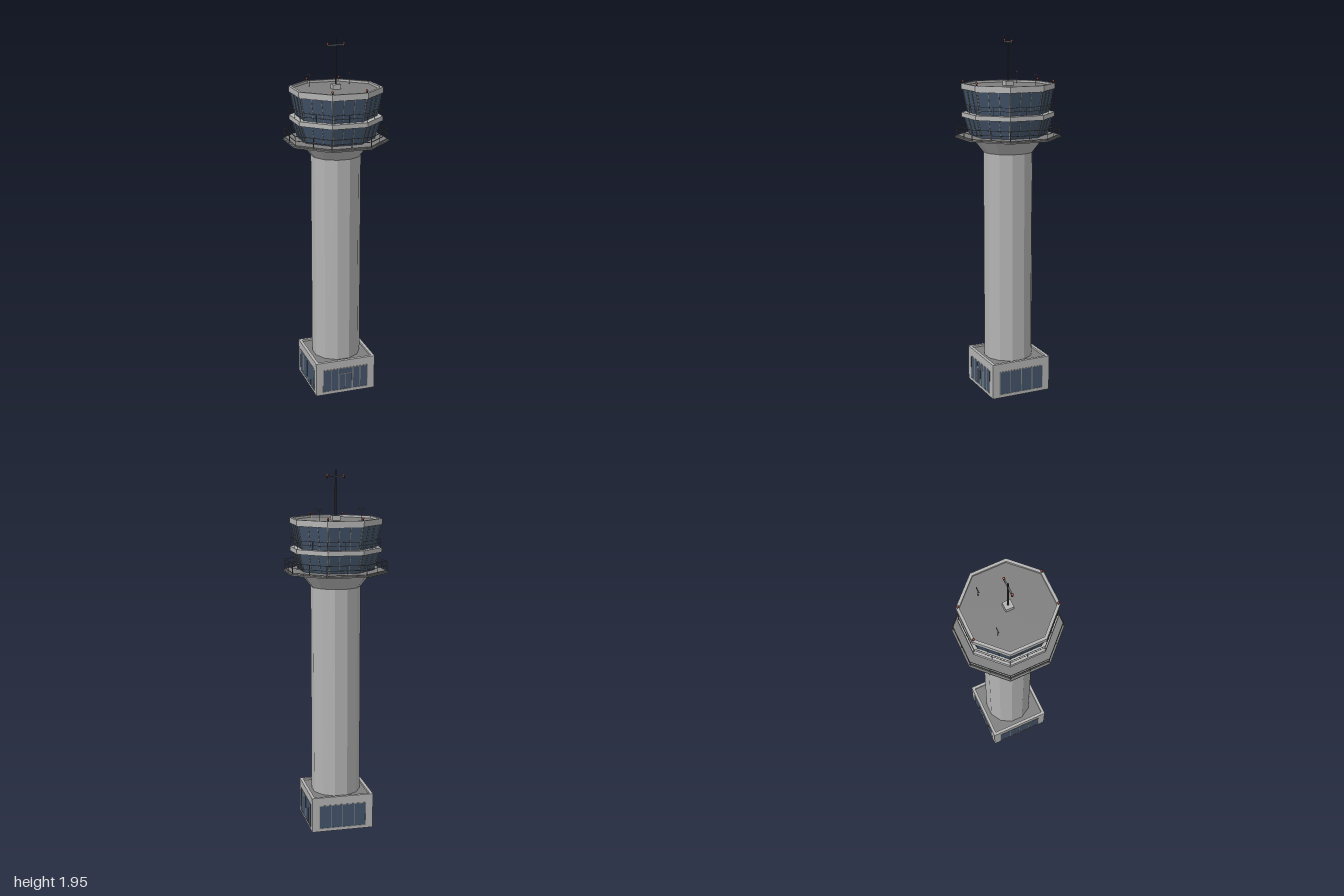
import * as THREE from 'three';

const mat = (name, color) => {
  const m = new THREE.MeshStandardMaterial({ color });
  m.name = name;
  return m;
};
const TAN = Math.tan(Math.PI / 8);

export function createModel() {
  const concrete = mat('concrete', 0xb4b4b4);
  const darkGrey = mat('dark grey', 0x7e7e7e);
  const glass = mat('blue glass', 0x43546a);
  const frame = mat('window frame', 0x8a8a88);
  const rail = mat('railing grey', 0x6a6c70);
  const metal = mat('dark metal', 0x3a3a3c);
  const red = mat('warning red', 0x963a24);
  const root = new THREE.Group();

  const add = (parent, name, geo, m, x = 0, y = 0, z = 0) => {
    const mesh = new THREE.Mesh(geo, m);
    mesh.name = name;
    mesh.position.set(x, y, z);
    parent.add(mesh);
    return mesh;
  };
  const box = (parent, name, w, h, d, m, x, y, z) =>
    add(parent, name, new THREE.BoxGeometry(w, h, d), m, x, y, z);
  const group = (name, parent = root) => {
    const g = new THREE.Group();
    g.name = name;
    parent.add(g);
    return g;
  };

  // Faceted prism or frustum; sizes are distances from the axis to the flats
  const prism = (name, sides, bottom, top, y0, y1, m, parent = root) => {
    const c = Math.cos(Math.PI / sides);
    let g = new THREE.CylinderGeometry(top / c, bottom / c, y1 - y0, sides);
    g.rotateY(Math.PI / sides);
    g = g.toNonIndexed();
    g.computeVertexNormals();
    return add(parent, name, g, m, 0, (y0 + y1) / 2, 0);
  };

  // Upright polygonal ring with a hole
  const ring = (name, sides, outer, inner, y0, y1, m) => {
    const pts = (a) => Array.from({ length: sides }, (_, i) => {
      const t = (i + 0.5) / sides * Math.PI * 2, r = a / Math.cos(Math.PI / sides);
      return new THREE.Vector2(r * Math.cos(t), r * Math.sin(t));
    });
    const s = new THREE.Shape(pts(outer));
    s.holes.push(new THREE.Path(pts(inner)));
    const g = new THREE.ExtrudeGeometry(s, { depth: y1 - y0, bevelEnabled: false });
    g.rotateX(-Math.PI / 2);
    return add(root, name, g, m, 0, y0, 0);
  };

  // Entrance block with a raised roof edge
  box(root, 'entranceBlock', 0.342, 0.182, 0.342, concrete, 0, 0.091, 0);
  ring('entranceParapet', 4, 0.172, 0.155, 0.18, 0.196, concrete);
  box(root, 'entranceRoof', 0.312, 0.004, 0.312, darkGrey, 0, 0.183, 0);
  for (let i = 0; i < 4; i++) {
    const side = group('entranceWindow');
    side.rotation.y = i * Math.PI / 2;
    box(side, 'pane', 0.26, 0.13, 0.004, glass, 0, 0.083, 0.17);
    for (const y of [0.018, 0.148]) box(side, 'frameRail', 0.264, 0.004, 0.004, frame, 0, y, 0.171);
    const bars = i === 0 ? [-0.13, -0.085, -0.043, 0.043, 0.085, 0.13]
      : [-0.13, -0.065, 0, 0.065, 0.13];
    for (const x of bars) box(side, 'mullion', 0.004, 0.13, 0.004, frame, x, 0.083, 0.171);
    if (i === 0) {
      // Double door
      box(side, 'doorHead', 0.086, 0.004, 0.005, frame, 0, 0.115, 0.171);
      for (const x of [-0.038, 0, 0.038])
        box(side, 'doorStile', 0.004, 0.1, 0.005, frame, x, 0.066, 0.171);
    }
  }

  // Shaft and flared collar
  prism('shaft', 12, 0.13, 0.13, 0.18, 1.335, concrete);
  prism('collar', 12, 0.13, 0.19, 1.333, 1.412, concrete);

  // Walkway deck
  prism('deck', 8, 0.263, 0.263, 1.41, 1.418, darkGrey);
  prism('deckStep', 8, 0.253, 0.253, 1.418, 1.424, darkGrey);

  // Cabin floors, each with sloped glazing and mullions
  const cabin = (name, a0, a1, y0, y1) => {
    const g = group(name);
    prism('glazing', 8, a0, a1, y0, y1, glass, g);
    const h = y1 - y0, tilt = Math.atan2(a1 - a0, h), len = Math.hypot(h, a1 - a0);
    for (let i = 0; i < 8; i++) {
      const side = group('windowFrames', g);
      side.rotation.y = i * Math.PI / 4;
      const slope = group('slopedFrames', side);
      slope.position.set(0, (y0 + y1) / 2, (a0 + a1) / 2);
      slope.rotation.x = tilt;
      const half = (a0 + a1) / 2 * TAN;
      for (const f of [-1 / 3, 1 / 3]) box(slope, 'mullion', 0.003, len, 0.005, frame, f * half, 0, 0);
      for (const s of [-1, 1]) {
        const bar = box(slope, 'cornerMullion', 0.004, len, 0.005, frame, s * (half - 0.002), 0, 0);
        bar.rotation.z = -s * Math.atan((a1 - a0) * TAN / len);
      }
    }
  };
  cabin('lowerCabin', 0.19, 0.217, 1.424, 1.522);
  prism('middleBand', 8, 0.23, 0.23, 1.52, 1.545, concrete);
  cabin('upperCabin', 0.2, 0.222, 1.545, 1.667);

  // Roof slab with raised rim
  prism('roofSlab', 8, 0.228, 0.228, 1.665, 1.682, concrete);
  prism('roofSurface', 8, 0.217, 0.217, 1.682, 1.686, darkGrey);
  ring('roofRim', 8, 0.231, 0.216, 1.668, 1.698, concrete);

  // Railings around the deck and the middle band
  const railing = (name, a, y0, heights, t) => {
    const g = group(name);
    const top = Math.max(...heights), w = 2 * a * TAN;
    for (let i = 0; i < 8; i++) {
      const side = group('railingSide', g);
      side.rotation.y = i * Math.PI / 4;
      for (const h of heights) box(side, 'rail', w, t, t, rail, 0, y0 + h, a);
      for (const x of [-w / 2, 0]) box(side, 'post', t, top, t, rail, x, y0 + top / 2, a);
    }
  };
  railing('deckRailing', 0.256, 1.418, [0.03, 0.055], 0.003);
  railing('bandRailing', 0.225, 1.545, [0.025, 0.045], 0.002);

  // Corner warning lights
  for (const x of [-0.092, 0.092]) for (const z of [-0.222, 0.222]) {
    add(root, 'lightBase', new THREE.CylinderGeometry(0.004, 0.004, 0.008, 8), metal, x, 1.701, z);
    add(root, 'warningLight', new THREE.SphereGeometry(0.0065, 10, 8), red, x, 1.709, z);
  }

  // Small aerials
  for (const x of [-0.113, 0.113]) {
    const g = group('smallAerial');
    g.position.set(x, 1.684, -0.106);
    add(g, 'pole', new THREE.CylinderGeometry(0.0015, 0.0015, 0.07, 6), rail, 0, 0.035, 0);
    box(g, 'crossbar', 0.027, 0.004, 0.005, rail, 0, 0.063, 0);
    for (const s of [-1, 1]) box(g, 'tip', 0.003, 0.012, 0.003, rail, s * 0.012, 0.067, 0);
  }

  // Main mast with cross arm and lights
  const mast = group('mast');
  box(mast, 'mastBase', 0.044, 0.026, 0.044, concrete, 0, 1.698, 0);
  add(mast, 'pole', new THREE.CylinderGeometry(0.004, 0.005, 0.24, 8), metal, 0, 1.83, 0);
  box(mast, 'crossArm', 0.09, 0.007, 0.008, rail, 0, 1.914, 0);
  for (const s of [-1, 1]) {
    add(mast, 'armPost', new THREE.CylinderGeometry(0.005, 0.005, 0.014, 8), metal, s * 0.045, 1.912, 0);
    add(mast, 'armLight', new THREE.SphereGeometry(0.0065, 10, 8), red, s * 0.045, 1.921, 0);
  }
  return root;
}
